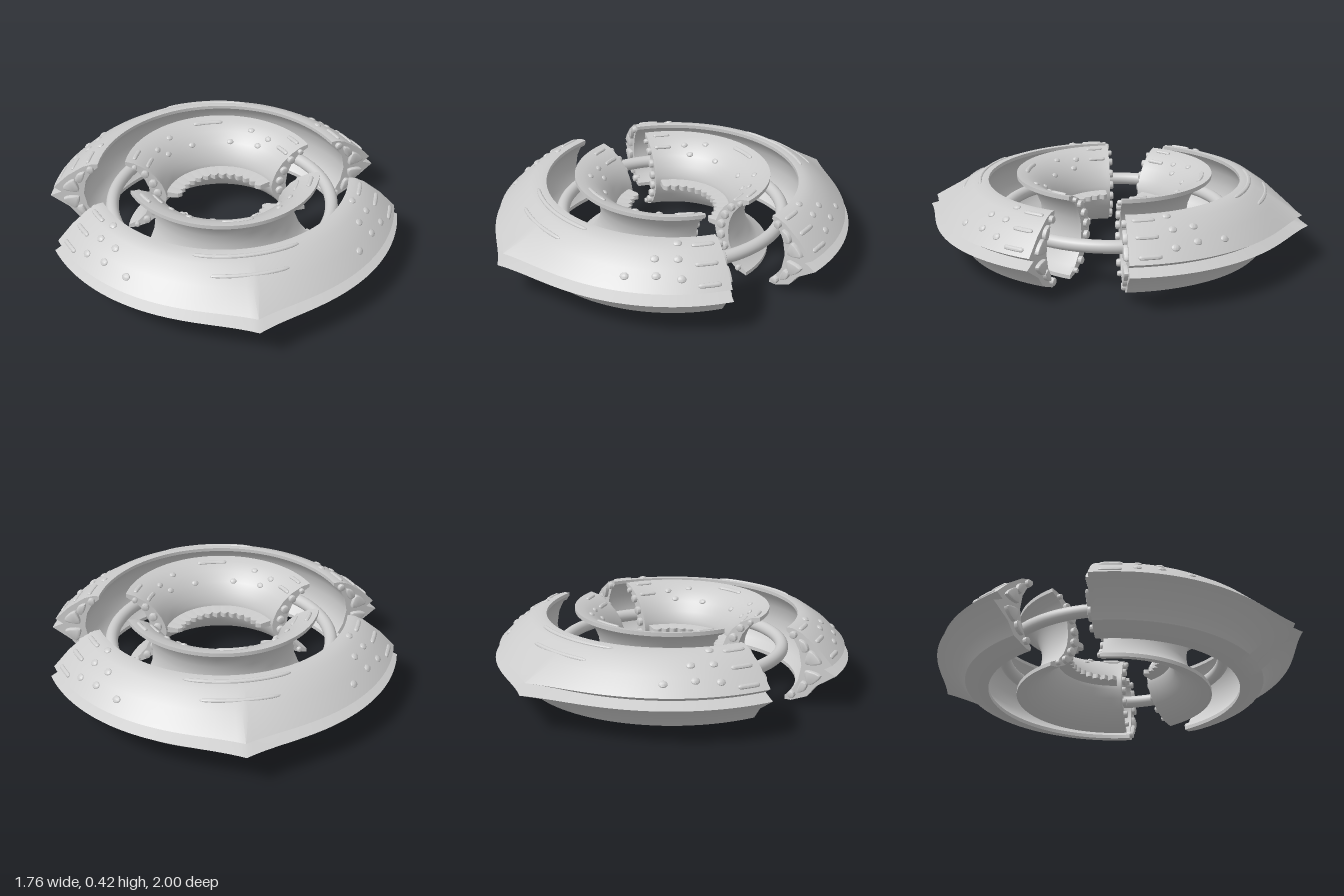
import * as THREE from 'three';
import { toCreasedNormals } from 'three/addons/utils/BufferGeometryUtils.js';

const MID = 0.213; // height of the middle plane
const rad = THREE.MathUtils.degToRad;
const material = new THREE.MeshStandardMaterial({ color: 0xcccccc });

function add(parent, geometry, name) {
  const mesh = new THREE.Mesh(geometry, material);
  mesh.name = name;
  parent.add(mesh);
  return mesh;
}

// Sweeps a counter-clockwise (radius, height) profile around y, with closed ends.
// warp(r, y, t, angle) may reshape each section.
function sweep(profile, a0, a1, n, warp = (r, y) => [r, y], ease = (t) => t) {
  const m = profile.length, pos = [], index = [];
  for (let i = 0; i <= n; i++) {
    const t = ease(i / n), a = rad(a0 + (a1 - a0) * t);
    for (const [pr, py] of profile) {
      const [r, y] = warp(pr, py, t, a);
      pos.push(r * Math.cos(a), y, r * Math.sin(a));
    }
  }
  for (let i = 0; i < n; i++) for (let j = 0; j < m; j++) {
    const a = i * m + j, b = i * m + (j + 1) % m;
    index.push(a, b, a + m, b, b + m, a + m);
  }
  const outline = profile.map(([r, y]) => new THREE.Vector2(r, y));
  for (const [a, b, c] of THREE.ShapeUtils.triangulateShape(outline, [])) {
    index.push(c, b, a, n * m + a, n * m + b, n * m + c);
  }
  const g = new THREE.BufferGeometry();
  g.setAttribute('position', new THREE.Float32BufferAttribute(pos, 3));
  g.setIndex(index);
  return toCreasedNormals(g, 0.45);
}

// Upper faces of both shells, used for the bodies and for seating the studs
const outerTop = [[0.645, 0.398], [0.675, 0.398], [0.725, 0.38], [0.81, 0.32], [0.89, 0.24]];
const innerTop = [[0.29, MID], [0.297, 0.25], [0.315, 0.295], [0.35, 0.345], [0.4, 0.388], [0.455, 0.416], [0.5, 0.425]];
const flip = (points) => points.map(([r, y]) => [r, 2 * MID - y]);

const outerProfile = [
  [0.645, 0.025], [0.68, 0.025], [0.765, 0.06], [0.81, 0.12], [0.91, 0.187], [0.85, 0.215],
  ...[...outerTop].reverse(),
  [0.645, 0.38], [0.685, 0.345], [0.715, 0.29], [0.73, MID], [0.715, 0.135], [0.685, 0.08], [0.645, 0.045],
];
const innerBack = [[0.375, MID], [0.382, 0.27], [0.405, 0.325], [0.445, 0.375], [0.5, 0.405]];
const innerProfile = [
  ...flip(innerBack).reverse(), ...innerBack.slice(1),
  ...[...innerTop].reverse(), ...flip(innerTop).slice(1),
];

// The rim is drawn out to a point in the middle of each outer shell
function spike(r, y, t, a) {
  const weight = THREE.MathUtils.clamp((r - 0.78) / 0.13, 0, 1);
  const off = Math.abs(THREE.MathUtils.radToDeg(a) - 90);
  return [r + 0.09 * weight * Math.exp(-off / 9), y];
}

// Low rounded stud lying on a face, stretched along the arc
function stud(parent, face, r, angle, length, width, name) {
  let k = 0;
  while (k < face.length - 2 && face[k + 1][0] < r) k++;
  const [p, q] = [face[k], face[k + 1]];
  const slope = (q[1] - p[1]) / (q[0] - p[0]);
  const y = p[1] + (r - p[0]) * slope, tilt = Math.atan(slope);
  const section = [];
  for (let i = 0; i < 12; i++) {
    const a = i / 12 * Math.PI * 2;
    const u = Math.cos(a) * width / 2, v = Math.sin(a) * 0.009;
    section.push([r + u * Math.cos(tilt) - v * Math.sin(tilt), y + u * Math.sin(tilt) + v * Math.cos(tilt)]);
  }
  const half = THREE.MathUtils.radToDeg(length / 2 / r);
  const power = length > 2 * width ? 10 : 2;
  const taper = (pr, py, t) => {
    const s = Math.max(0.05, Math.sqrt(Math.max(0, 1 - Math.abs(2 * t - 1) ** power)));
    return [r + (pr - r) * s, y + (py - y) * s];
  };
  add(parent, sweep(section, angle - half, angle + half, 16, taper, (t) => (1 - Math.cos(Math.PI * t)) / 2), name);
}

// Rounded pad on the cut ends, outlined in (radius, height)
function pad(parent, points, name) {
  const curve = new THREE.CatmullRomCurve3(points.map(([r, y]) => new THREE.Vector3(r, y, 0)), true);
  const shape = new THREE.Shape(curve.getPoints(20).slice(0, -1).map((p) => new THREE.Vector2(p.x, p.y)));
  const g = new THREE.ExtrudeGeometry(shape, {
    depth: 0.024, bevelEnabled: true, bevelThickness: 0.008, bevelSize: 0.006, bevelOffset: -0.006, bevelSegments: 2,
  });
  g.translate(0, 0, -0.012);
  add(parent, toCreasedNormals(g, 0.6), name);
}
const disc = (r, y, s) => Array.from({ length: 8 }, (_, i) => [r + s * Math.cos(i * Math.PI / 4), y + s * Math.sin(i * Math.PI / 4)]);

const outerPads = [
  disc(0.685, 0.367, 0.019),
  [[0.718, 0.35], [0.755, 0.335], [0.768, 0.3], [0.74, 0.287]],
  [[0.775, 0.3], [0.802, 0.29], [0.838, 0.245], [0.755, 0.232]],
];
const innerPads = [disc(0.452, 0.394, 0.014), disc(0.398, 0.358, 0.02), disc(0.358, 0.302, 0.022), disc(0.336, 0.243, 0.022)];

function endPads(parent, outlines, name) {
  for (const angle of [15, 165]) {
    const end = new THREE.Group();
    end.name = name + 'Group';
    end.rotation.y = -rad(angle);
    for (const o of outlines) {
      pad(end, o, name);
      pad(end, flip(o).reverse(), name);
    }
    parent.add(end);
  }
}

function makeHalf() {
  const half = new THREE.Group();

  // Outer shell with its trim
  add(half, sweep(outerProfile, 15, 165, 72, spike), 'outerShell');
  for (const [r, length] of [[0.69, 0.52], [0.775, 0.38], [0.855, 0.2]]) stud(half, outerTop, r, 90, length, 0.022, 'outerLongBar');
  endPads(half, outerPads, 'outerEndPad');

  // Inner spool-shaped shell with its trim and scalloped fin
  add(half, sweep(innerProfile, 15, 165, 60), 'innerShell');
  stud(half, innerTop, 0.45, 90, 0.16, 0.024, 'innerLongBar');
  endPads(half, innerPads, 'innerEndPad');
  const fin = [[0.235, MID - 0.012], [0.31, MID - 0.018], [0.31, MID + 0.018], [0.235, MID + 0.012]];
  const scallop = (r, y, t) => [r < 0.3 ? r - 0.02 * Math.abs(Math.sin(t * 13 * Math.PI)) : r, y];
  add(half, sweep(fin, 20, 160, 130, scallop), 'scallopedFin');

  // Bars and dots repeated towards both ends
  for (const side of [1, -1]) {
    const at = (angle) => 90 - side * (90 - angle);
    for (const r of [0.705, 0.79, 0.865]) stud(half, outerTop, r, at(21.5), 0.11, 0.024, 'outerShortBar');
    for (const [r, a] of [[0.69, 31], [0.765, 31], [0.84, 30], [0.765, 39], [0.83, 38], [0.84, 48]]) {
      stud(half, outerTop, r, at(a), 0.042, 0.036, 'outerDot');
    }
    for (const r of [0.39, 0.46]) stud(half, innerTop, r, at(25), 0.09, 0.022, 'innerShortBar');
    for (const [r, a] of [[0.355, 73], [0.42, 58], [0.36, 48], [0.4, 42]]) stud(half, innerTop, r, at(a), 0.036, 0.03, 'innerDot');
  }
  return half;
}

export function createModel() {
  const model = new THREE.Group();
  model.name = 'splitRing';

  // Front and back halves
  const front = makeHalf();
  front.name = 'frontHalf';
  const back = makeHalf();
  back.name = 'backHalf';
  back.rotation.y = Math.PI;
  model.add(front, back);

  // Full ring running between the shells
  const ring = add(model, new THREE.TorusGeometry(0.57, 0.033, 20, 96), 'centreRing');
  ring.rotation.x = Math.PI / 2;
  ring.position.y = MID;
  return model;
}
